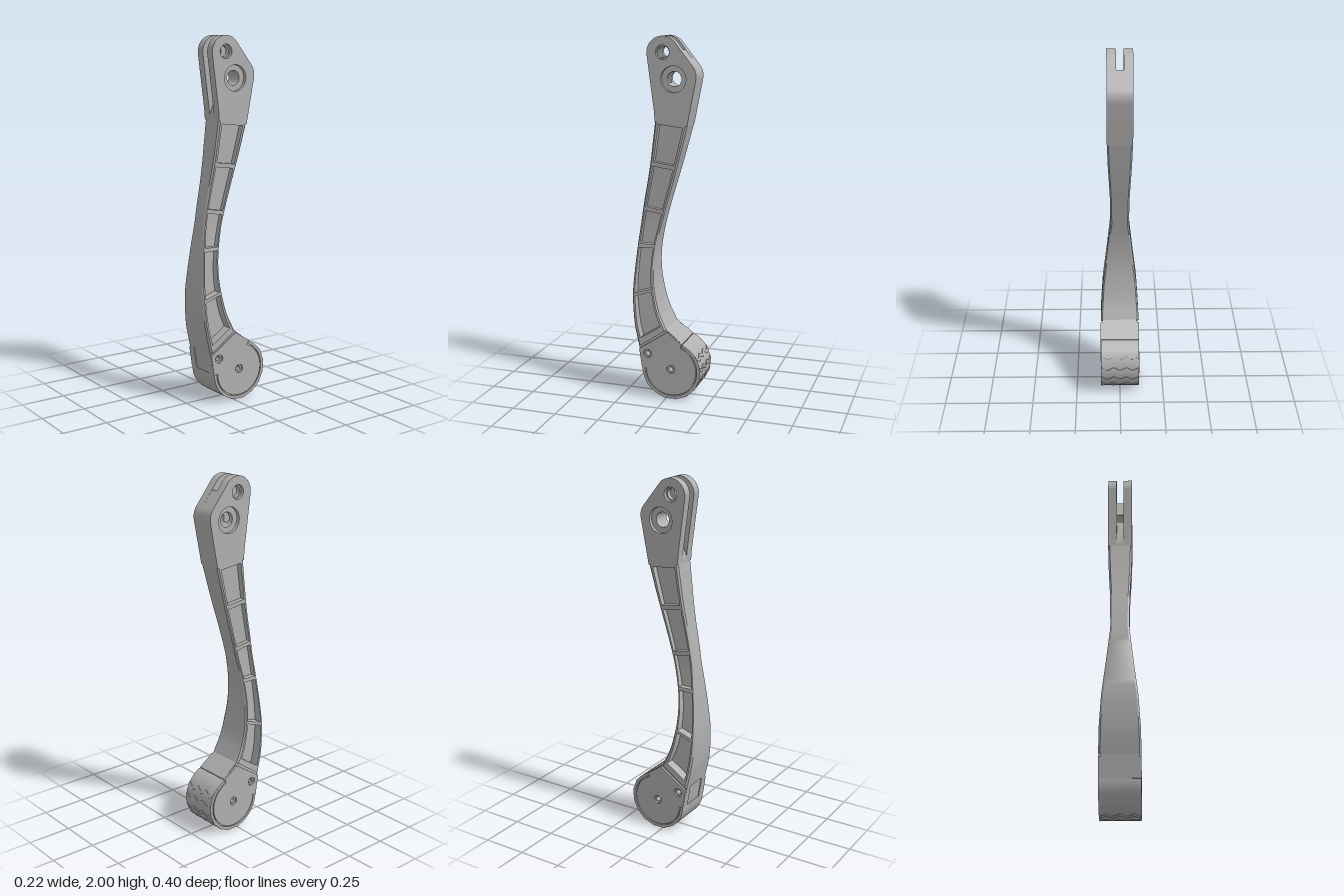
import * as THREE from 'three';
import { toCreasedNormals } from 'three/addons/utils/BufferGeometryUtils.js';

const rad = THREE.MathUtils.degToRad;
const lerp = THREE.MathUtils.lerp;

// Paired edge points of the arm, as [z, y], from the foot up to the head
const FRONT = [[.158, .29], [.185, .42], [.198, .58], [.193, .70], [.178, .86], [.150, 1.07], [.105, 1.32], [.074, 1.55]];
const BACK = [[0, .40], [.045, .50], [.074, .62], [.083, .73], [.072, .86], [.027, 1.05], [-.045, 1.30], [-.107, 1.53]];
// Half thickness by height, as [y, x]
const THICK = [[.29, .11], [.42, .108], [.6, .096], [.8, .072], [1, .051], [1.2, .054], [1.4, .064], [1.55, .068]];

const toCurve = (pts) => new THREE.CatmullRomCurve3(pts.map(([z, y]) => new THREE.Vector3(0, y, z)));
const frontCurve = toCurve(FRONT), backCurve = toCurve(BACK);
const END = FRONT.length - 1;

function halfThickness(y) {
  let i = 0;
  while (i < THICK.length - 2 && y > THICK[i + 1][0]) i++;
  const [y0, a] = THICK[i], [y1, b] = THICK[i + 1];
  return lerp(a, b, THREE.MathUtils.clamp((y - y0) / (y1 - y0), 0, 1));
}

// Closed solid through rows of cross-section points
function loft(rows) {
  const n = rows[0].length, pos = [], idx = [];
  rows.forEach((row) => row.forEach((p) => pos.push(p.x, p.y, p.z)));
  for (let j = 0; j < rows.length - 1; j++) {
    for (let i = 0; i < n; i++) {
      const a = j * n + i, b = j * n + (i + 1) % n;
      idx.push(a, b, b + n, a, b + n, a + n);
    }
  }
  const top = (rows.length - 1) * n;
  for (let i = 1; i < n - 1; i++) idx.push(0, i + 1, i, top, top + i, top + i + 1);
  const geo = new THREE.BufferGeometry();
  geo.setAttribute('position', new THREE.Float32BufferAttribute(pos, 3));
  geo.setIndex(idx);
  return toCreasedNormals(geo, 0.5);
}

// Piece of the arm between stations s0 and s1; section is [t across, thickness factor, inset]
function armPiece(s0, s1, steps, section) {
  const rows = [];
  for (let j = 0; j <= steps; j++) {
    const s = lerp(s0, s1, j / steps) / END;
    const f = frontCurve.getPoint(s), b = backCurve.getPoint(s);
    const half = section.map(([t, k, inset = 0]) => {
      const p = f.clone().lerp(b, t);
      p.x = halfThickness(p.y) * k - inset;
      return p;
    });
    const other = half.map((p) => new THREE.Vector3(-p.x, p.y, p.z)).reverse();
    rows.push([...half, ...other]);
  }
  return loft(rows);
}

// Side outline (z, y) extruded from x0 to x1
function slab(shape, x0, x1) {
  const geo = new THREE.ExtrudeGeometry(shape, { depth: x1 - x0, bevelEnabled: false, curveSegments: 40 });
  geo.rotateY(-Math.PI / 2);
  geo.translate(x1, 0, 0);
  return toCreasedNormals(geo, 0.5);
}

function addHoles(shape, holes) {
  holes.forEach(([z, y, r]) => shape.holes.push(new THREE.Path().absarc(z, y, r, 0, Math.PI * 2, false)));
  return shape;
}

function headShape(holes) {
  const s = new THREE.Shape();
  s.moveTo(-.107, 1.53);
  s.lineTo(.074, 1.55);
  s.lineTo(.077, 1.6);
  s.absarc(.03, 1.912, .088, rad(-8), rad(140), false);
  s.absarc(-.07, 1.79, .086, rad(140), rad(191), false);
  return addHoles(s, holes);
}

// Middle of the head, cut back to form the slot and scooped around the large bore
function headCoreShape() {
  const s = new THREE.Shape();
  s.moveTo(-.107, 1.53);
  s.lineTo(.074, 1.55);
  s.lineTo(.076, 1.58);
  s.absarc(-.03, 1.775, .04, rad(-33.7), rad(-281), true);
  s.lineTo(-.07, 1.926);
  s.absarc(-.07, 1.79, .086, rad(140), rad(191), false);
  return s;
}

const FZ = -.03, FY = .17;
// Foot body; gap lowers the top edge to leave the groove under the arm
function footShape(r, gap, inset, holes) {
  const s = new THREE.Shape();
  s.moveTo(-gap * .6, .40 - gap);
  s.lineTo(.158 - inset - gap * .2, .29 - gap);
  s.lineTo(.139 - inset, .168);
  s.absarc(FZ, FY, r, 0, rad(-248), true);
  s.lineTo(FZ + Math.cos(rad(112)) * .169, FY + Math.sin(rad(112)) * .169);
  return addHoles(s, holes);
}

function padShape() {
  const s = new THREE.Shape();
  s.absarc(FZ, FY, .167, rad(-1), rad(-247), true);
  s.absarc(FZ, FY, .151, rad(-247), rad(-1), false);
  return s;
}

// Zigzag tread bar wrapped round the pad at an angle
function treadBar(angle, x0, x1, turns, amp) {
  const rows = [];
  for (let i = 0; i <= turns; i++) {
    const a = rad(angle + (i % 2 ? amp : -amp));
    rows.push([[-.06, .1705], [-.06, .16], [.06, .16], [.06, .1705]].map(([da, r]) =>
      new THREE.Vector3(lerp(x0, x1, i / turns), FY + r * Math.sin(a + da), FZ + r * Math.cos(a + da))));
  }
  return loft(rows);
}

export function createModel() {
  const model = new THREE.Group();
  const metal = new THREE.MeshStandardMaterial({ color: 0xb0b0b0 });
  metal.name = 'grey metal';
  const add = (name, geo, parent = model) => {
    const mesh = new THREE.Mesh(geo, metal);
    mesh.name = name;
    parent.add(mesh);
  };
  const group = (name) => {
    const g = new THREE.Group();
    g.name = name;
    model.add(g);
    return g;
  };

  // Arm: two chamfered rails, a thin web and cross ribs that leave five pockets a side
  const arm = group('arm');
  add('frontRail', armPiece(0, END, 56, [[0, 1, .01], [.05, 1], [.12, 1]]), arm);
  add('backRail', armPiece(0, END, 56, [[.88, 1], [.95, 1], [1, 1, .008]]), arm);
  add('web', armPiece(0, END, 56, [[.11, .5], [.89, .5]]), arm);
  [[0, .3], [1.95, 2.08], [3.94, 4.06], [4.95, 5.05], [5.95, 6.05], [6.94, 7]].forEach(([a, b], i) =>
    add('rib' + (i + 1), armPiece(a, b, 2, [[.11, 1], [.89, 1]]), arm));

  // Head: slotted fork with a small bore and a counterbored large one
  const head = group('head');
  add('headCore', slab(headCoreShape(), -.02, .02), head);
  const bores = [[.03, 1.915, .03], [-.03, 1.775, .04]];
  const counterbores = [[.03, 1.915, .038], [-.03, 1.775, .07]];
  for (const side of [1, -1]) {
    const layer = (name, shape, a, b, parent) =>
      add(name, slab(shape, Math.min(a * side, b * side), Math.max(a * side, b * side)), parent);
    layer('forkCheek', headShape(bores), .02, .048, head);
    layer('forkFace', headShape(counterbores), .048, .068, head);
  }

  // Foot: core, drilled side plates and a wrapped pad
  const foot = group('foot');
  add('footCore', slab(footShape(.155, 0, .004, []), -.06, .06), foot);
  const screws = [[-.03, .175], [.005, .33], [.105, .255]];
  const withRadius = (r) => screws.map(([z, y]) => [z, y, r]);
  for (const side of [1, -1]) {
    const layer = (name, shape, a, b) =>
      add(name, slab(shape, Math.min(a * side, b * side), Math.max(a * side, b * side)), foot);
    layer('sidePlate', footShape(.155, 0, 0, withRadius(.014)), .06, .099);
    layer('sideFace', footShape(.145, .012, 0, withRadius(.024)), .099, .11);
  }
  add('pad', slab(padShape(), -.109, .109), foot);

  // Zigzag tread round the underside and back of the pad
  for (let i = 0; i < 7; i++) add('treadBar' + (i + 1), treadBar(-75 - i * 22, -.108, .108, 6, 3.5), foot);

  return model;
}
